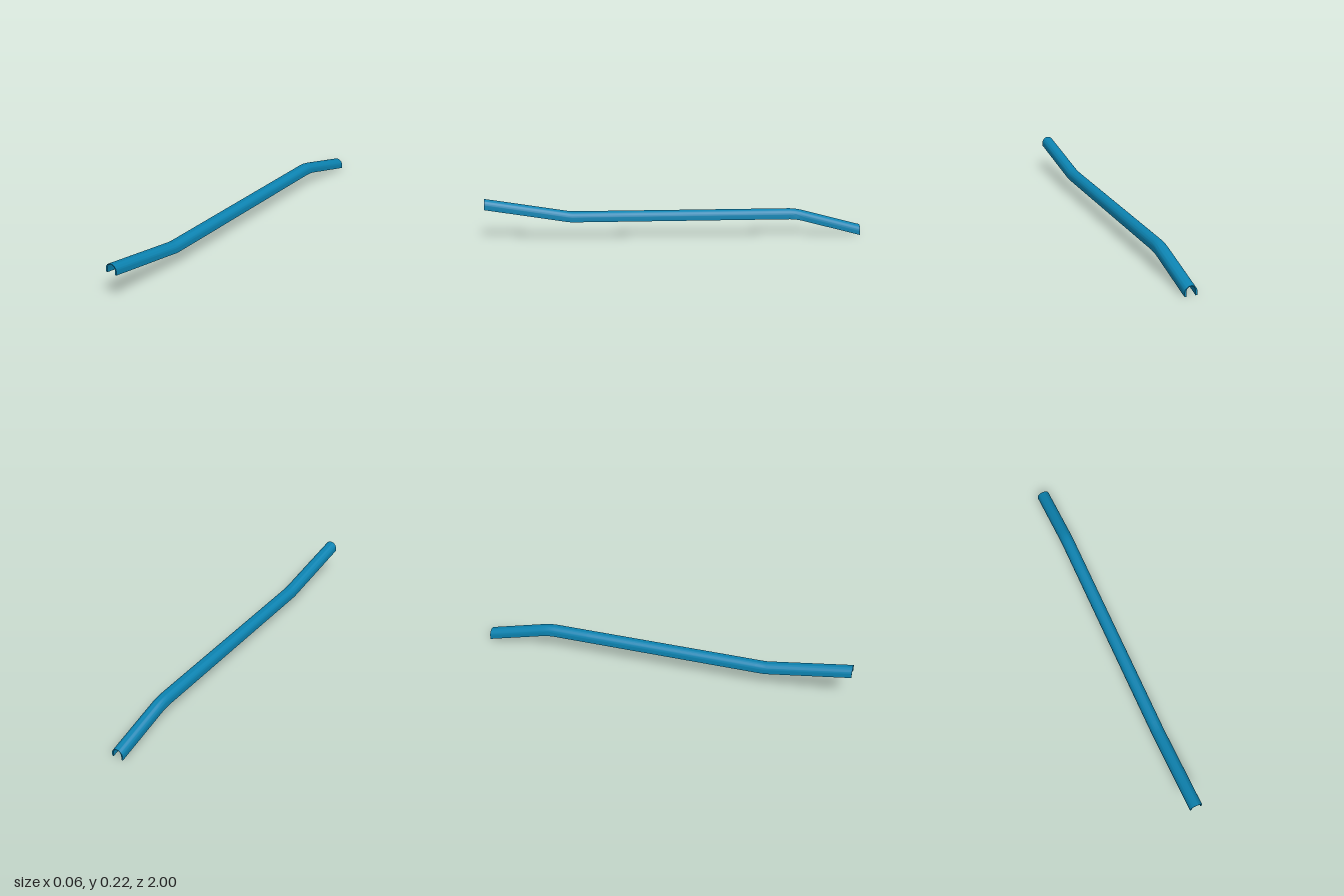
import * as THREE from 'three';
import { toCreasedNormals } from 'three/addons/utils/BufferGeometryUtils.js';

const ARC = 24;

// one side of the arch: straight leg, half circle, straight leg (right to left)
function arch(halfWidth, top) {
  const points = [[halfWidth, 0]];
  for (let i = 0; i <= ARC; i++) {
    const a = (Math.PI * i) / ARC;
    points.push([halfWidth * Math.cos(a), top - halfWidth + halfWidth * Math.sin(a)]);
  }
  points.push([-halfWidth, 0]);
  return points;
}

// closed U-shaped section: outer skin, then inner skin back again
function section(innerTop) {
  return [...arch(0.0325, 0.052), ...arch(0.0238, innerTop).reverse()];
}

export function createModel() {
  const group = new THREE.Group();
  const ends = section(0.0485), middle = section(0.0445);

  // stations along the rail: z, height of the lower edge, section
  const stations = [
    [-1, 0, ends], [-0.7, 0.08, ends], [-0.675, 0.0862, ends], [-0.65, 0.0908, ends],
    [-0.62, 0.093, ends], [-0.43, 0.093, ends],
    [-0.43, 0.093, middle], [0.5, 0.093, middle],
    [0.5, 0.093, ends], [0.54, 0.093, ends], [0.56, 0.0947, ends], [1, 0.166, ends],
  ];
  const rings = stations.map(([z, y, s]) => s.map((p) => [p[0], p[1] + y, z]));
  const n = ends.length;
  const pos = [];
  const quad = (a, b, c, d) => pos.push(...a, ...b, ...c, ...a, ...c, ...d);

  // skins and lower edges
  for (let i = 0; i < rings.length - 1; i++) {
    for (let j = 0; j < n; j++) {
      const k = (j + 1) % n;
      quad(rings[i][j], rings[i][k], rings[i + 1][k], rings[i + 1][j]);
    }
  }
  // end faces between outer and inner skin
  const back = rings[0], front = rings[rings.length - 1];
  for (let j = 0; j < n / 2 - 1; j++) {
    const m = n - 1 - j;
    quad(front[j], front[j + 1], front[m - 1], front[m]);
    quad(back[m], back[m - 1], back[j + 1], back[j]);
  }

  const geometry = new THREE.BufferGeometry();
  geometry.setAttribute('position', new THREE.Float32BufferAttribute(pos, 3));
  const rail = new THREE.Mesh(
    toCreasedNormals(geometry, 0.6),
    new THREE.MeshStandardMaterial({ color: 0x0c84b2 })
  );
  rail.name = 'bentChannelRail';
  group.add(rail);
  return group;
}
